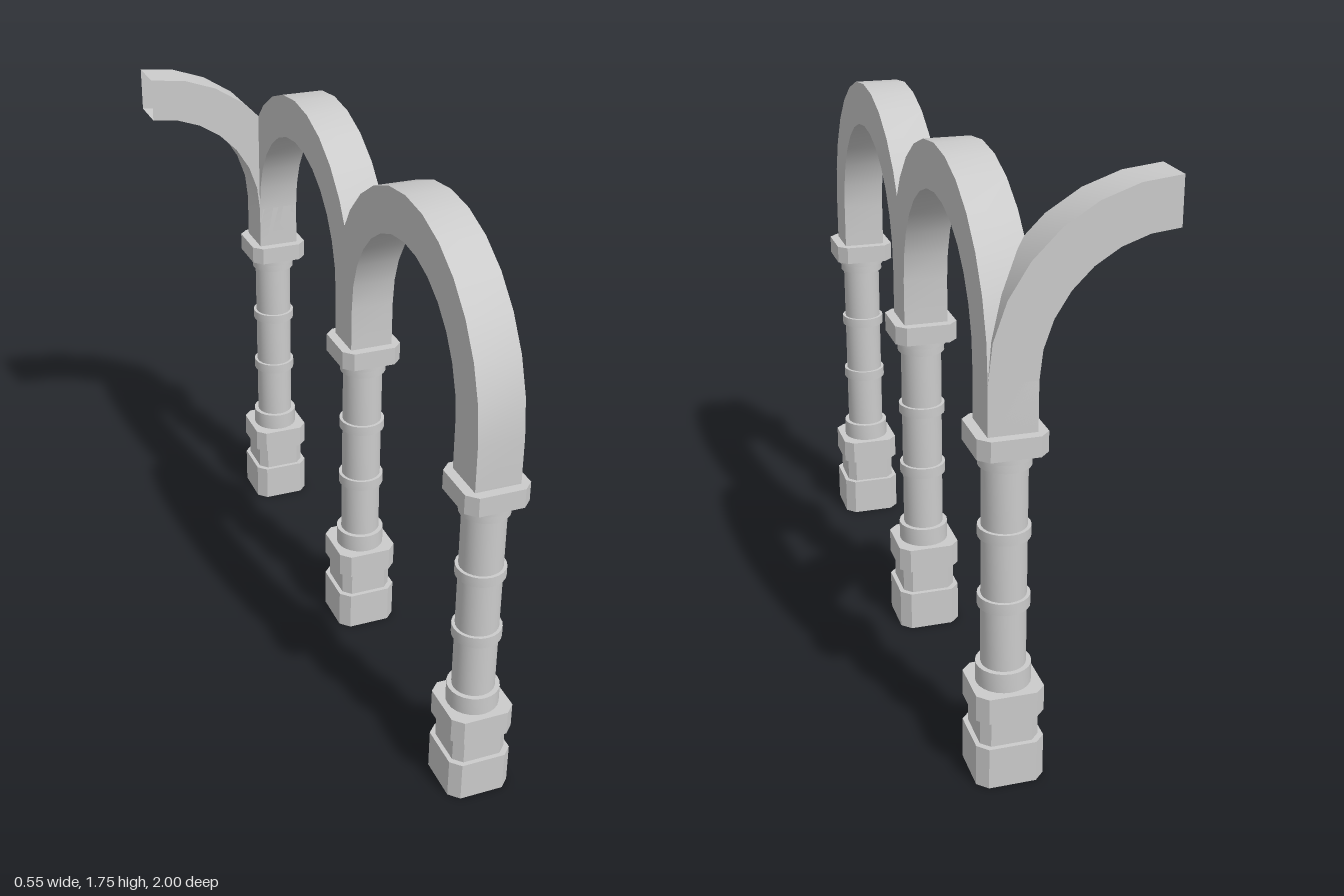
import * as THREE from 'three';
import { toCreasedNormals } from 'three/addons/utils/BufferGeometryUtils.js';

const material = new THREE.MeshStandardMaterial({ color: 0xcccccc, side: THREE.DoubleSide });

const COLUMN_X = 0.175, SPACING = 0.9, CAPITAL_TOP = 1.08;

// Open-ended skin through a list of closed loops of [x, y, z] points
function loft(rings) {
  const n = rings[0].length, index = [];
  for (let r = 0; r < rings.length - 1; r++) {
    for (let i = 0; i < n; i++) {
      const a = r * n + i, b = r * n + (i + 1) % n;
      index.push(a, b, b + n, a, b + n, a + n);
    }
  }
  const geometry = new THREE.BufferGeometry();
  geometry.setAttribute('position', new THREE.Float32BufferAttribute(rings.flat(2), 3));
  geometry.setIndex(index);
  return toCreasedNormals(geometry, 0.6);
}

function addMesh(parent, name, geometry) {
  const mesh = new THREE.Mesh(geometry, material);
  mesh.name = name;
  parent.add(mesh);
  return mesh;
}

// Square loop with cut corners
function octagon(half, y) {
  const f = half * 0.7, h = half;
  return [[h, y, f], [h, y, -f], [f, y, -h], [-f, y, -h], [-h, y, -f], [-h, y, f], [-f, y, h], [f, y, h]];
}

// Rectangular beam swept up a short leg and round an arc
function archGeometry(sweep, closeLeg) {
  const outer = 0.52, inner = 0.38, depth = 0.07, springY = 1.225;
  const section = (angle, dy) => [[outer, depth], [outer, -depth], [inner, -depth], [inner, depth]]
    .map(([r, z]) => [r * Math.cos(angle), springY + r * Math.sin(angle) + dy, z]);
  const drop = CAPITAL_TOP - springY;
  const steps = Math.round(sweep / (Math.PI / 14));
  const rings = [section(0, drop)];
  for (let i = 0; i <= steps; i++) rings.push(section(sweep * i / steps, 0));
  if (closeLeg) rings.push(section(sweep, drop));
  return loft(rings);
}

// Column parts, shared by all three columns
const pedestal = loft([
  [0.1, 0], [0.1, 0.13], [0.086, 0.13], [0.086, 0.215], [0.1, 0.215], [0.1, 0.295], [0.06, 0.295],
].map(([h, y]) => octagon(h, y)));

const capital = loft([
  [0.06, 1.02], [0.1, 1.02], [0.1, CAPITAL_TOP], [0.06, CAPITAL_TOP],
].map(([h, y]) => octagon(h, y)));

const shaft = toCreasedNormals(new THREE.LatheGeometry([
  [0.08, 0.295], [0.08, 0.355], [0.065, 0.355],
  [0.065, 0.54], [0.075, 0.54], [0.075, 0.575], [0.065, 0.575],
  [0.065, 0.755], [0.075, 0.755], [0.075, 0.787], [0.065, 0.787],
  [0.065, 0.97], [0.075, 0.97], [0.075, 0.997], [0.082, 0.997], [0.082, 1.02],
].map(([r, y]) => new THREE.Vector2(r, y)), 24), 0.6);

export function createModel() {
  const model = new THREE.Group();
  model.name = 'arcade';

  // Row of three columns
  for (const [name, z] of [['frontColumn', SPACING], ['middleColumn', 0], ['backColumn', -SPACING]]) {
    const column = new THREE.Group();
    column.name = name;
    column.position.set(COLUMN_X, 0, z);
    addMesh(column, 'pedestal', pedestal);
    addMesh(column, 'shaft', shaft);
    addMesh(column, 'capital', capital);
    model.add(column);
  }

  // Two round arches between the columns
  const fullArch = archGeometry(Math.PI, true);
  for (const [name, z] of [['frontArch', SPACING / 2], ['backArch', -SPACING / 2]]) {
    const arch = addMesh(model, name, fullArch);
    arch.rotation.y = Math.PI / 2;
    arch.position.set(COLUMN_X, 0, z);
  }

  // Half arch turning the corner, left open at its free end
  const halfArch = addMesh(model, 'cornerHalfArch', archGeometry(Math.PI / 2, false));
  halfArch.position.set(COLUMN_X - 0.45, 0, -SPACING);

  return model;
}
